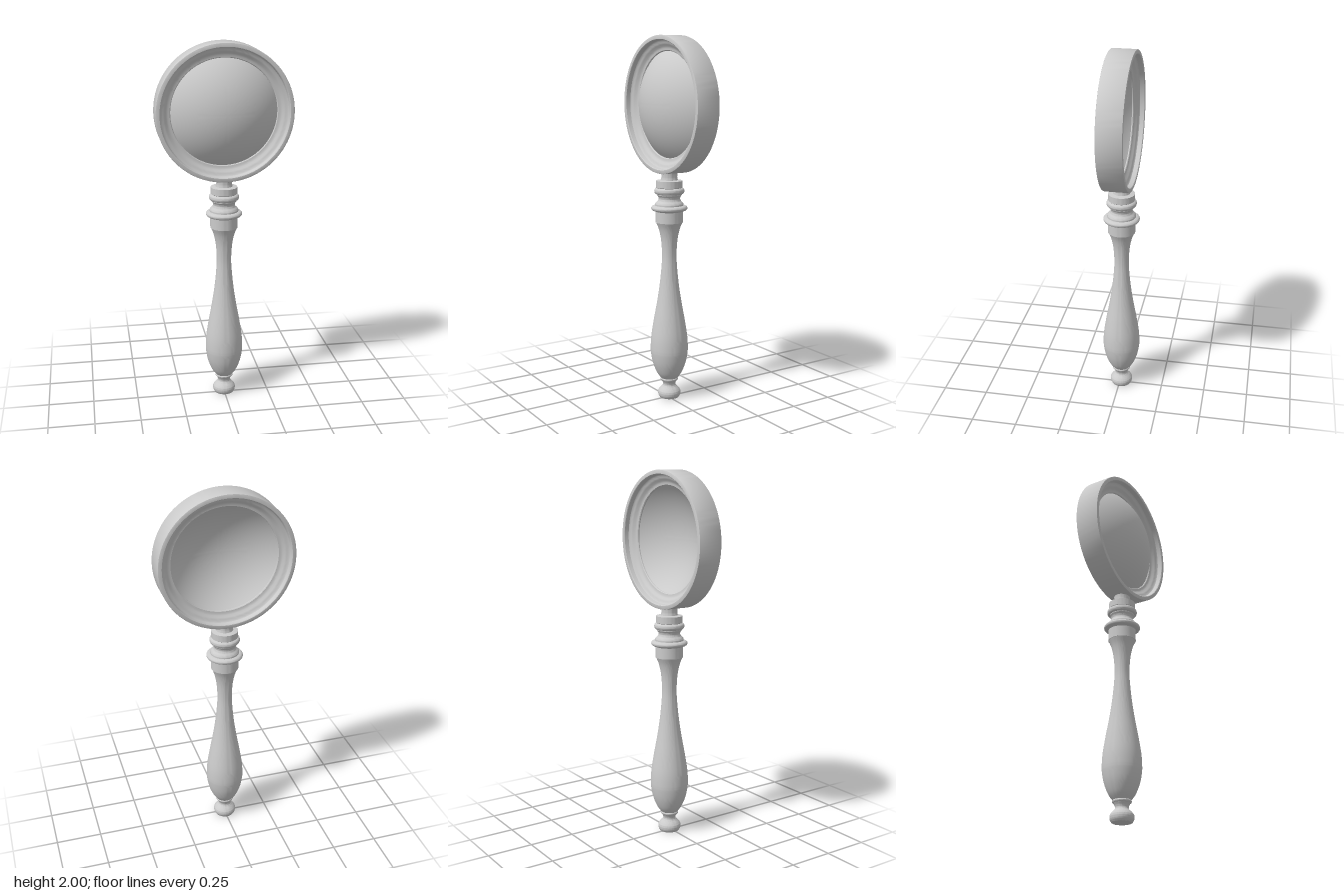
import * as THREE from 'three';
import { toCreasedNormals } from 'three/addons/utils/BufferGeometryUtils.js';

const AXIS_Z = -0.0095; // depth of the handle axis and the rim centre
const HEAD_Y = 1.634;

const material = new THREE.MeshStandardMaterial({ color: 0xcccccc });

const vectors = (pairs) => pairs.map(([r, y]) => new THREE.Vector2(r, y));
const smooth = (pairs, n) => new THREE.SplineCurve(vectors(pairs)).getPoints(n);

// Half-round bulge of a turned profile
function bead(r, y, out, half, n = 10) {
  return Array.from({ length: n + 1 }, (_, i) => {
    const a = -Math.PI / 2 + (Math.PI * i) / n;
    return new THREE.Vector2(r + out * Math.cos(a), y + half * Math.sin(a));
  });
}

function turned(name, points, segments = 64) {
  const geometry = toCreasedNormals(new THREE.LatheGeometry(points, segments), 0.6);
  const mesh = new THREE.Mesh(geometry, material);
  mesh.name = name;
  return mesh;
}

export function createModel() {
  const model = new THREE.Group();
  model.name = 'magnifyingGlass';

  // Handle: end knob, waisted grip, collar and neck share one axis
  const handle = new THREE.Group();
  handle.name = 'handle';
  handle.position.z = AXIS_Z;
  handle.add(
    turned('endKnob', [
      ...vectors([[0, 0], [0.05, 0]]),
      ...smooth([[0.054, 0.002], [0.062, 0.018], [0.062, 0.038], [0.05, 0.055],
        [0.037, 0.068], [0.035, 0.082], [0.044, 0.1]], 32),
      ...bead(0.044, 0.108, 0.006, 0.008, 6),
      ...vectors([[0, 0.116]]),
    ]),
    turned('grip', [
      ...vectors([[0, 0.113]]),
      ...smooth([[0.046, 0.113], [0.07, 0.147], [0.091, 0.2], [0.102, 0.255], [0.104, 0.295],
        [0.1, 0.36], [0.086, 0.45], [0.068, 0.55], [0.053, 0.65], [0.043, 0.75],
        [0.04, 0.82], [0.045, 0.9], [0.057, 0.96], [0.073, 1.001]], 64),
      ...vectors([[0, 1.001]]),
    ]),
    turned('collar', [
      ...vectors([[0, 1], [0.075, 1], [0.075, 1.06]]),
      ...bead(0.078, 1.078, 0.021, 0.015),
      ...smooth([[0.078, 1.095], [0.076, 1.105], [0.062, 1.12], [0.059, 1.135], [0.068, 1.15]], 16),
      ...bead(0.068, 1.172, 0.014, 0.017),
      ...vectors([[0.072, 1.192], [0.072, 1.228], [0.046, 1.232]]),
      ...smooth([[0.046, 1.232], [0.043, 1.25], [0.045, 1.278]], 8),
      ...vectors([[0, 1.278]]),
    ]),
  );
  model.add(handle);

  // Head: rim and lens turned about the z axis
  const head = new THREE.Group();
  head.name = 'head';
  head.position.set(0, HEAD_Y, AXIS_Z);
  head.rotation.x = Math.PI / 2;

  // Rim section, front half, from the outer wall to the lens seat
  const half = vectors([[0.366, 0.063], [0.3645, 0.0665], [0.361, 0.068], [0.345, 0.068],
    [0.342, 0.065], [0.339, 0.042], [0.333, 0.036], [0.325, 0.034],
    [0.316, 0.029], [0.308, 0.021], [0.298, 0.017], [0.288, 0.016], [0.284, 0.012]]);
  const back = half.map((p) => new THREE.Vector2(p.x, -p.y)).reverse();
  head.add(turned('rim', [...back, ...half, back[0].clone()], 128));

  // Lens: domed in front, hollow behind
  const R = 0.416, edge = 0.287, apex = 0.1215;
  const cap = (top, n = 24) => Array.from({ length: n + 1 }, (_, i) => {
    const a = Math.asin(edge / R) * (1 - i / n);
    return new THREE.Vector2(R * Math.sin(a), top - R * (1 - Math.cos(a)));
  });
  head.add(turned('lens', [...cap(apex - 0.016).reverse(), ...cap(apex)], 96));
  model.add(head);

  return model;
}
